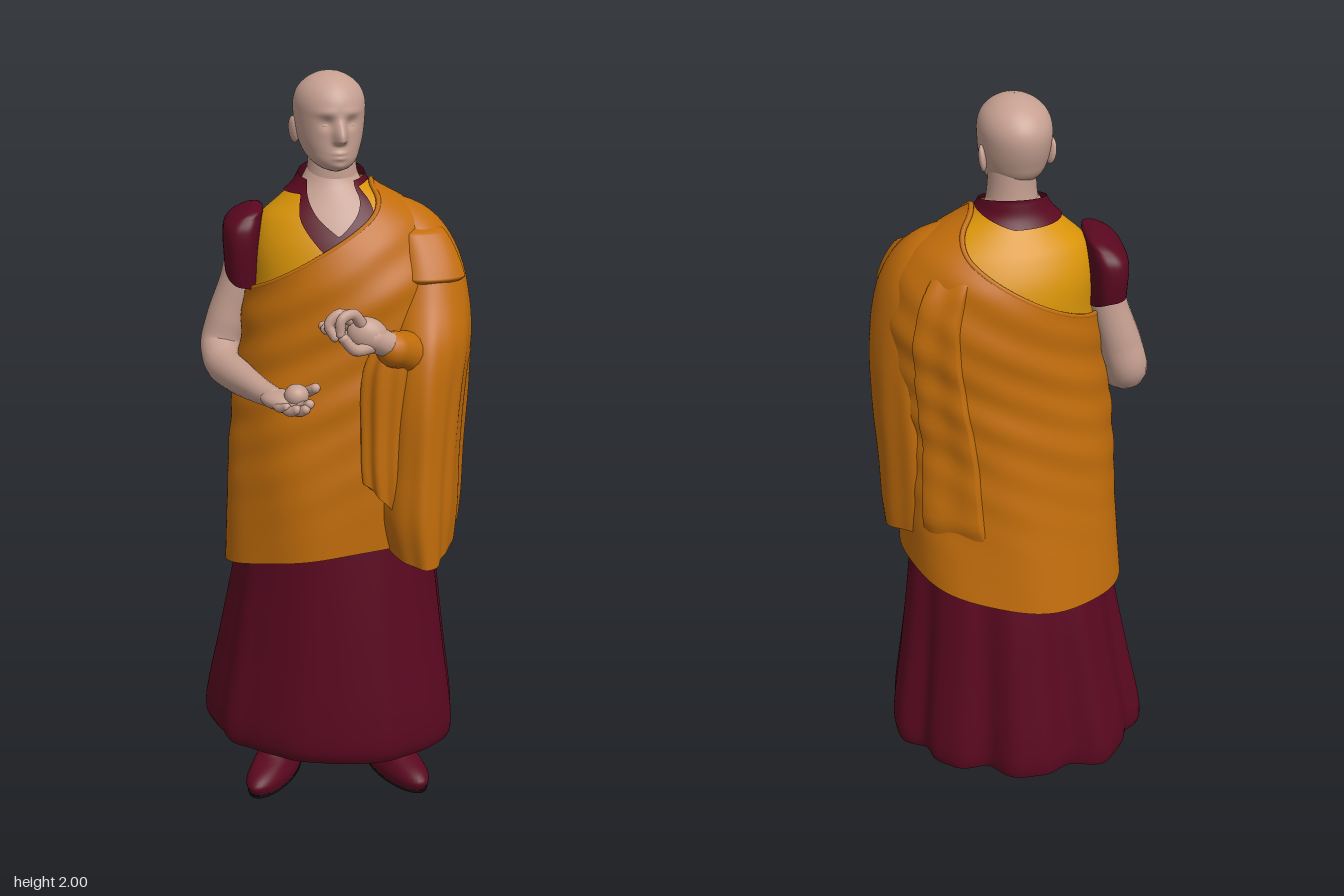
import * as THREE from 'three';
import { mergeVertices, mergeGeometries } from 'three/addons/utils/BufferGeometryUtils.js';

const paint = (name, color) => {
  const m = new THREE.MeshStandardMaterial({ color, side: THREE.DoubleSide });
  m.name = name;
  return m;
};
const { PI, sin, cos, abs, min, max, exp } = Math;
const gauss = (d, w) => exp(-(d * d) / (w * w));
const signedPow = (v, p) => Math.sign(v) * abs(v) ** p;
const smooth = THREE.MathUtils.smoothstep;

// Smooth interpolation of section rows [y, xMin, xMax, zMin, zMax]
function sample(rows, y) {
  const n = rows.length;
  y = min(max(y, rows[0][0]), rows[n - 1][0]);
  let i = 0;
  while (i < n - 2 && y > rows[i + 1][0]) i++;
  const a = rows[i], b = rows[i + 1], h = b[0] - a[0], t = (y - a[0]) / h;
  const slope = (k, c) => {
    const p = rows[max(k - 1, 0)], q = rows[min(k + 1, n - 1)];
    return (q[c] - p[c]) / (q[0] - p[0]);
  };
  return [1, 2, 3, 4].map(c => {
    const t2 = t * t, t3 = t2 * t;
    return (2 * t3 - 3 * t2 + 1) * a[c] + (t3 - 2 * t2 + t) * h * slope(i, c)
      + (3 * t2 - 2 * t3) * b[c] + (t3 - t2) * h * slope(i + 1, c);
  });
}

// Surface point by angle (0 = front, PI/2 = model's left) and height
const surface = (rows, fold = () => 0, pow = 1) => (a, y, off = 0) => {
  const [x0, x1, z0, z1] = sample(rows, y), d = off + fold(a, y);
  return new THREE.Vector3(
    (x0 + x1) / 2 + (x1 - x0) / 2 * signedPow(sin(a), pow) + d * sin(a), y,
    (z0 + z1) / 2 + (z1 - z0) / 2 * signedPow(cos(a), pow) + d * cos(a));
};

// Grid of quads over u, v in 0..1
function sheet(fn, nu, nv) {
  const pos = [], idx = [];
  for (let j = 0; j <= nv; j++) for (let i = 0; i <= nu; i++) pos.push(...fn(i / nu, j / nv).toArray());
  for (let j = 0; j < nv; j++) for (let i = 0; i < nu; i++) {
    const a = j * (nu + 1) + i, b = a + nu + 1;
    idx.push(a, a + 1, b + 1, a, b + 1, b);
  }
  let g = new THREE.BufferGeometry();
  g.setAttribute('position', new THREE.Float32BufferAttribute(pos, 3));
  g.setIndex(idx);
  g = mergeVertices(g, 1e-5);
  g.computeVertexNormals();
  return g;
}
const angle = u => -PI + 2 * PI * u;
const wrap = (pt, lo, hi, off = 0, nu = 96, nv = 50) => sheet((u, v) => {
  const a = angle(u), y0 = lo(a);
  return pt(a, y0 + (hi(a) - y0) * v, off);
}, nu, nv);
const underside = (pt, lo, off = 0, nu = 96) => sheet((u, v) => {
  const a = angle(u), rim = pt(a, lo(a), off);
  const mid = pt(0, lo(0), off).add(pt(PI, lo(PI), off)).multiplyScalar(0.5);
  return mid.lerp(rim, v);
}, nu, 4);

// Tapered round limb through points [x, y, z, radius] with rounded ends
function limb(pts, seg = 24, sides = 16) {
  const curve = new THREE.CatmullRomCurve3(pts.map(p => new THREE.Vector3(p[0], p[1], p[2])));
  const g = new THREE.TubeGeometry(curve, seg, 1, sides), P = g.attributes.position, v = new THREE.Vector3();
  for (let i = 0; i <= seg; i++) {
    const c = curve.getPointAt(i / seg), t = curve.getUtoTmapping(i / seg) * (pts.length - 1);
    const k = min(Math.floor(t), pts.length - 2), r = THREE.MathUtils.lerp(pts[k][3], pts[k + 1][3], t - k);
    for (let j = 0; j <= sides; j++) {
      const n = i * (sides + 1) + j;
      v.fromBufferAttribute(P, n).sub(c).multiplyScalar(r).add(c);
      P.setXYZ(n, v.x, v.y, v.z);
    }
  }
  const ends = [pts[0], pts[pts.length - 1]].map(p => new THREE.SphereGeometry(p[3], sides, 10).translate(p[0], p[1], p[2]));
  return mergeGeometries([g, ...ends]);
}

export function createModel() {
  const root = new THREE.Group();
  const skin = paint('skin', 0xc6a091), orange = paint('orangeCloth', 0xc26d0b);
  const yellow = paint('yellowCloth', 0xd99408), maroon = paint('maroonCloth', 0x5a0820), black = paint('soleBlack', 0x141212);
  const add = (name, mat, geo, parent = root) => {
    const m = new THREE.Mesh(geo, mat);
    m.name = name;
    parent.add(m);
    return m;
  };
  const blob = (name, mat, p, s, ry = 0, rz = 0, parent = root) => {
    const m = add(name, mat, new THREE.SphereGeometry(1, 24, 16), parent);
    m.position.set(...p); m.scale.set(...s); m.rotation.set(0, ry, rz);
  };

  // Shoes with thin dark soles
  const shoe = surface([[0.008, -0.056, 0.056, -0.1, 0.185], [0.035, -0.06, 0.06, -0.104, 0.196],
    [0.06, -0.054, 0.054, -0.1, 0.165], [0.09, -0.052, 0.052, -0.1, 0.08], [0.17, -0.058, 0.058, -0.1, 0.04]]);
  const sole = surface([[0, -0.056, 0.056, -0.102, 0.187], [0.01, -0.058, 0.058, -0.104, 0.19]]);
  for (const s of [-1, 1]) {
    const foot = new THREE.Group();
    foot.name = s < 0 ? 'rightFoot' : 'leftFoot';
    foot.position.x = s < 0 ? -0.16 : 0.155;
    foot.rotation.y = 0.43 * s;
    root.add(foot);
    add('shoe', maroon, wrap(shoe, () => 0.008, () => 0.17, 0, 40, 20), foot);
    add('sole', black, mergeGeometries([wrap(sole, () => 0, () => 0.01, 0, 40, 2), underside(sole, () => 0, 0, 40)]), foot);
  }

  // Pleated skirt, swept towards the back right and front left
  const skirt = surface([[0.11, -0.342, 0.322, -0.33, 0.19], [0.135, -0.357, 0.335, -0.35, 0.205],
    [0.2, -0.357, 0.337, -0.352, 0.21], [0.4, -0.32, 0.312, -0.325, 0.2],
    [0.65, -0.277, 0.284, -0.29, 0.185], [0.85, -0.26, 0.27, -0.25, 0.17]],
  (a, y) => (1.05 - y) * (0.018 * (0.62 - 0.5 * cos(a)) * (cos(9 * (a - PI)) + 0.35 * sin(17 * a + 1))
    + 0.022 * sin(2 * a)));
  const skirtHem = a => 0.12 - 0.01 * cos(a);
  add('skirt', maroon, wrap(skirt, skirtHem, () => 0.85, 0, 144));
  add('skirtUnderside', maroon, underside(skirt, skirtHem, 0, 144));

  // Torso surface shared by chest, vest, collar and robe
  const torsoRows = [[0.62, -0.305, 0.285, -0.305, 0.21], [0.9, -0.288, 0.295, -0.268, 0.215],
    [1.1, -0.273, 0.295, -0.252, 0.205], [1.3, -0.246, 0.315, -0.245, 0.188], [1.45, -0.232, 0.315, -0.243, 0.182],
    [1.55, -0.232, 0.285, -0.228, 0.152], [1.62, -0.21, 0.24, -0.196, 0.116], [1.67, -0.157, 0.165, -0.158, 0.084],
    [1.71, -0.115, 0.095, -0.13, 0.06], [1.75, -0.093, 0.073, -0.12, 0.045]];
  const torso = surface(torsoRows);
  const robe = surface(torsoRows, (a, y) => 0.0025 * smooth(y, 0.7, 1.3) * (1 - smooth(y, 1.55, 1.68))
    * (sin((y - 0.16 * sin(a)) * 55) + 0.6 * sin((y - 0.1 * sin(a)) * 31 + 3 * cos(a)))
    + 0.004 * (1 - smooth(y, 0.8, 1.5)) * sin(7 * a + 5 * y));
  const spread = a => abs(a + 0.08);
  const collarLow = a => min(1.688 + 0.03 * max(0, sin(a)), 1.5 + 0.28 * spread(a));
  const collarTop = a => min(1.738 - 0.02 * cos(a), 1.59 + 0.19 * spread(a));
  add('chest', skin, wrap(torso, () => 1.5, () => 1.745, -0.02, 72, 30));
  add('vest', yellow, wrap(torso, () => 1.3, a => collarLow(a) + 0.004, -0.008));
  add('collar', maroon, wrap(torso, collarLow, collarTop, -0.001, 144, 16));

  // Wrapped robe, open over the right shoulder
  const robeHem = a => 0.697 + 0.043 * sin(a) + 0.045 * cos(a);
  const robeTop = a => 1.572 + 0.142 * sin(a) + 0.012 * cos(a);
  add('robe', orange, wrap(robe, robeHem, robeTop, 0.01, 120, 90));
  add('robeUnderside', orange, underside(robe, robeHem, 0.01));
  const edge = Array.from({ length: 40 }, (_, i) => robe(angle(i / 40), robeTop(angle(i / 40)), 0.004));
  add('robeEdge', orange, new THREE.TubeGeometry(new THREE.CatmullRomCurve3(edge, true), 120, 0.007, 8, true));

  // Hanging sleeve on the left arm
  const drape = surface([[0.72, 0.15, 0.322, -0.12, 0.278], [0.85, 0.115, 0.336, -0.14, 0.285],
    [1, 0.115, 0.341, -0.148, 0.276], [1.2, 0.115, 0.354, -0.148, 0.262], [1.32, 0.115, 0.362, -0.145, 0.236],
    [1.42, 0.12, 0.354, -0.142, 0.18], [1.52, 0.13, 0.33, -0.135, 0.13], [1.6, 0.13, 0.285, -0.11, 0.08],
    [1.65, 0.12, 0.225, -0.07, 0.03], [1.675, 0.14, 0.16, -0.03, -0.01]],
  (a, y) => (1 - smooth(y, 1.1, 1.5)) * (0.005 * sin(6 * a + 2 * y) + 0.002 * sin(13 * a - 3 * y) - 0.024 * sin(2 * a)));
  const drapeHem = a => 0.777 - 0.052 * cos(a);
  add('hangingSleeve', orange, wrap(drape, drapeHem, () => 1.675, 0, 120, 60));
  add('hangingSleeveUnderside', orange, underside(drape, drapeHem));
  const flap = surface([[0.84, 0.085, 0.16, 0.17, 0.24], [0.95, 0.055, 0.17, 0.16, 0.25],
    [1.1, 0.05, 0.18, 0.15, 0.25], [1.25, 0.055, 0.2, 0.15, 0.25], [1.34, 0.09, 0.2, 0.18, 0.24]],
  (a, y) => 0.005 * sin(8 * a + 4 * y));
  const flapHem = a => 0.9 - 0.06 * sin(a);
  add('innerSleeveFold', orange, wrap(flap, flapHem, () => 1.34, 0, 60, 30));
  add('innerSleeveFoldUnderside', orange, underside(flap, flapHem, 0, 60));
  add('leftCuff', orange, limb([[0.29, 1.27, 0.06, 0.068], [0.2, 1.29, 0.17, 0.066], [0.135, 1.318, 0.23, 0.048]]));

  // Folded layers lying on the robe and the sleeve
  const panel = (name, pt, a0, a1, y0, y1, flare, thick) => add(name, orange, sheet((u, v) => {
    const mid = (a0 + a1) / 2, a = mid + (u - 0.5) * (a1 - a0) * (1 + flare * (1 - v));
    const rim = min(1, 14 * min(u, 1 - u), 14 * v, 14 * (1 - v));
    return pt(a, y0 + (y1 - y0) * v, thick * rim + 0.003 * sin(u * 9));
  }, 40, 40));
  panel('backSash', robe, 2.3, 2.75, 0.84, 1.6, 0.5, 0.02);
  panel('shoulderFlap', drape, -0.6, 0.95, 1.47, 1.6, 0.1, 0.014);

  // Short, flat-sided sleeve on the right shoulder
  const cap = surface([[1.42, -0.29, -0.205, -0.165, 0.04], [1.52, -0.297, -0.2, -0.188, 0.06],
    [1.59, -0.297, -0.195, -0.19, 0.064], [1.62, -0.277, -0.193, -0.172, 0.05], [1.643, -0.235, -0.193, -0.13, 0.02], [1.65, -0.216, -0.214, -0.061, -0.059]],
  () => 0, 0.7);
  add('shortSleeve', maroon, wrap(cap, a => 1.465 - 0.025 * cos(a) - 0.015 * sin(a), () => 1.65, 0, 60, 40));

  // Bare right arm and open hand
  add('rightArm', skin, limb([[-0.242, 1.56, -0.08, 0.045], [-0.255, 1.45, -0.082, 0.05], [-0.288, 1.34, -0.085, 0.056],
    [-0.31, 1.26, -0.08, 0.055], [-0.304, 1.222, -0.02, 0.05], [-0.262, 1.21, 0.09, 0.045], [-0.212, 1.205, 0.195, 0.034], [-0.175, 1.2, 0.25, 0.028]], 48, 20));
  blob('rightPalm', skin, [-0.16, 1.2, 0.265], [0.046, 0.025, 0.064], 0.58);
  const finger = (name, r, ...pts) => add(name, skin, limb(pts.map((p, i) => [...p, r * (1 - 0.08 * i)]), 14, 10));
  finger('rightIndex', 0.015, [-0.128, 1.205, 0.295], [-0.105, 1.2, 0.33], [-0.09, 1.212, 0.352]);
  finger('rightMiddle', 0.015, [-0.142, 1.2, 0.3], [-0.117, 1.19, 0.342], [-0.1, 1.2, 0.358]);
  finger('rightRing', 0.015, [-0.16, 1.2, 0.3], [-0.138, 1.19, 0.338], [-0.122, 1.198, 0.352]);
  finger('rightLittle', 0.013, [-0.178, 1.2, 0.285], [-0.162, 1.193, 0.318], [-0.147, 1.2, 0.335]);
  finger('rightThumb', 0.016, [-0.145, 1.205, 0.25], [-0.1, 1.217, 0.268], [-0.072, 1.237, 0.295]);
  blob('heldBall', skin, [-0.12, 1.22, 0.3], [0.032, 0.03, 0.032]);

  // Raised left hand, thumb and index forming a ring
  add('leftWrist', skin, limb([[0.16, 1.315, 0.21, 0.034], [0.12, 1.333, 0.24, 0.034], [0.08, 1.355, 0.255, 0.036]]));
  blob('leftPalm', skin, [0.065, 1.363, 0.253], [0.056, 0.046, 0.037], 0, -0.45);
  finger('leftThumb', 0.017, [0.07, 1.335, 0.27], [0.03, 1.335, 0.293], [0, 1.366, 0.298]);
  finger('leftIndex', 0.016, [0.05, 1.392, 0.265], [0.025, 1.425, 0.28], [-0.005, 1.415, 0.297], [-0.008, 1.378, 0.298]);
  finger('leftMiddle', 0.016, [0.04, 1.385, 0.247], [-0.006, 1.418, 0.25], [-0.035, 1.392, 0.255], [-0.02, 1.36, 0.26]);
  finger('leftRing', 0.016, [0.04, 1.37, 0.232], [-0.012, 1.396, 0.225], [-0.042, 1.375, 0.232]);
  finger('leftLittle', 0.014, [0.035, 1.355, 0.228], [-0.015, 1.363, 0.214], [-0.048, 1.38, 0.216]);

  // Neck and shaven head, turned slightly
  const neck = surface([[1.68, -0.09, 0.07, -0.11, 0.032], [1.75, -0.074, 0.056, -0.1, 0.034], [1.83, -0.07, 0.05, -0.1, 0.03]]);
  add('neck', skin, wrap(neck, () => 1.68, () => 1.83, 0, 48, 12));
  const head = new THREE.Group();
  head.name = 'head';
  head.position.set(-0.015, 0, -0.005);
  head.rotation.y = 0.2;
  root.add(head);
  const face = (a, y) => {
    const s = abs(a);
    const nose = 0.031 * gauss(a, 0.16) * (0.25 + 0.75 * smooth(-y, -1.89, -1.84)) * smooth(y, 1.816, 1.834) * smooth(-y, -1.905, -1.87);
    return nose - 0.009 * gauss(s - 0.36, 0.22) * gauss(y - 1.876, 0.016) + 0.004 * gauss(s - 0.35, 0.35) * gauss(y - 1.902, 0.012)
      + 0.005 * gauss(a, 0.25) * (gauss(y - 1.8, 0.006) + gauss(y - 1.787, 0.006)) + 0.004 * gauss(a, 0.3) * gauss(y - 1.765, 0.01);
  };
  const skull = surface([[1.75, -0.015, 0.015, 0.03, 0.07], [1.758, -0.036, 0.036, 0, 0.09], [1.775, -0.058, 0.058, -0.045, 0.1],
    [1.8, -0.073, 0.073, -0.09, 0.102], [1.84, -0.086, 0.086, -0.112, 0.1], [1.89, -0.092, 0.092, -0.126, 0.102],
    [1.925, -0.092, 0.092, -0.124, 0.1], [1.955, -0.082, 0.082, -0.107, 0.085], [1.978, -0.061, 0.061, -0.081, 0.061],
    [1.992, -0.037, 0.037, -0.053, 0.033], [1.998, -0.018, 0.018, -0.03, 0.01], [2, -0.001, 0.001, -0.011, -0.009]], face);
  add('skull', skin, wrap(skull, () => 1.75, () => 2, 0, 128, 90), head);
  add('chinUnderside', skin, underside(skull, () => 1.75, 0, 64), head);
  for (const s of [-1, 1]) {
    blob('ear', skin, [0.09 * s, 1.848, -0.03], [0.01, 0.035, 0.02], -0.35 * s, -0.1 * s, head);
    blob('eyelid', skin, [0.034 * s, 1.869, 0.076], [0.018, 0.008, 0.01], 0.35 * s, 0, head);
  }
  return root;
}
